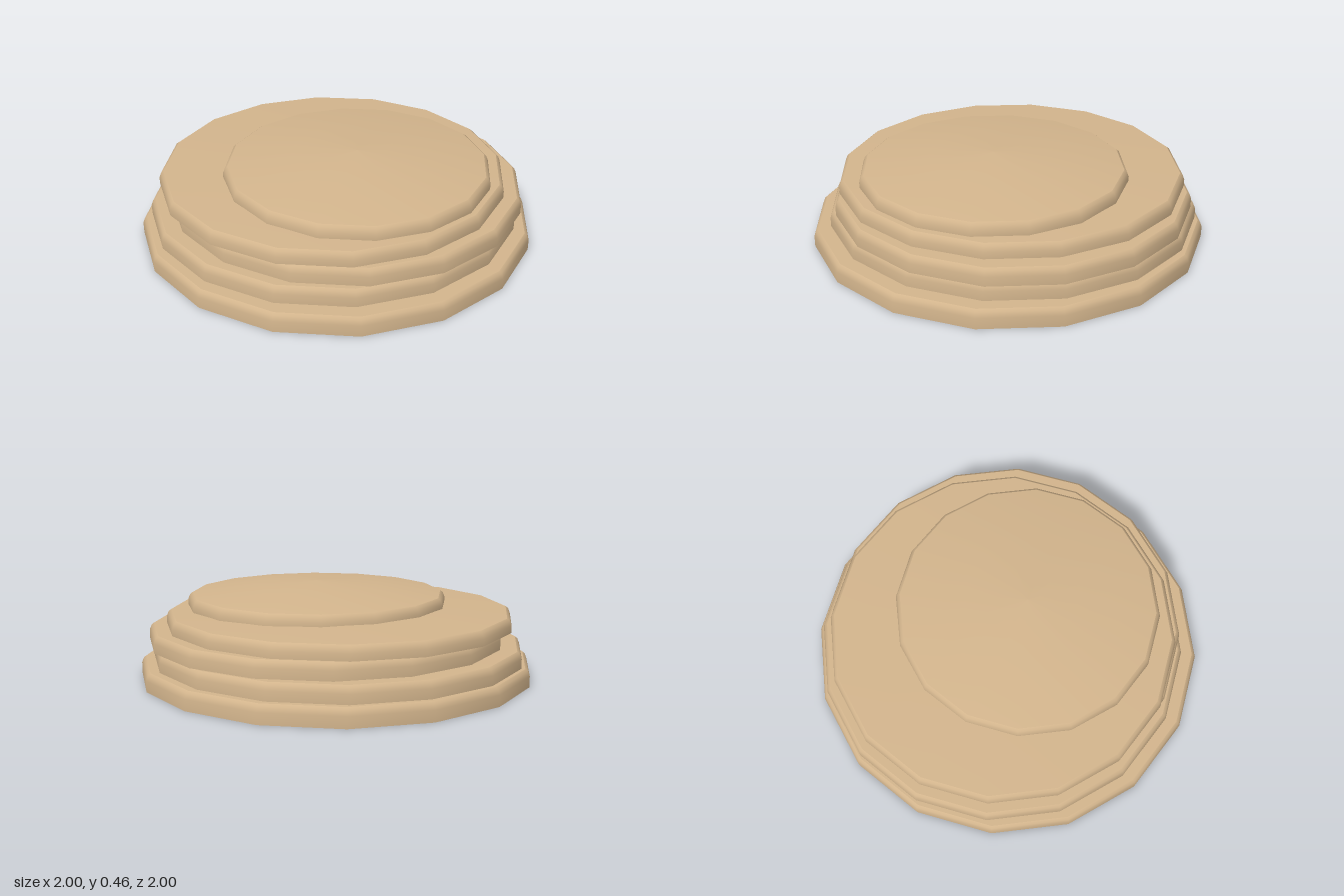
import * as THREE from 'three';

const SIDES = 16;
const material = new THREE.MeshStandardMaterial({ color: 0xd2b48c });

// name, centre x, centre z, radius, bottom y, rim y, dome rise
const LAYERS = [
  ['baseSlab', 0, 0, 1, 0, 0.09, 0.015],
  ['secondSlab', 0, -0.03, 0.94, 0.095, 0.177, 0.015],
  ['thirdSlab', 0.053, 0.008, 0.9, 0.183, 0.265, 0.015],
  ['fourthSlab', -0.008, -0.028, 0.88, 0.267, 0.336, 0.025],
  ['capSlab', 0.05, 0.125, 0.67, 0.34, 0.402, 0.058],
];

function lathe(points) {
  const profile = points.map(([r, y]) => new THREE.Vector2(r, y));
  return new THREE.Mesh(new THREE.LatheGeometry(profile, SIDES), material);
}

// One flat stone: underside, rounded-over edge and shallow domed top
function createSlab([name, x, z, radius, bottom, rim, rise]) {
  const slab = new THREE.Group();
  slab.name = name;
  const rimRadius = radius - 0.023;

  const underside = lathe([[0, bottom], [radius, bottom]]);
  underside.name = 'underside';

  const edge = lathe([
    [radius, bottom],
    [radius, rim - 0.035],
    [radius - 0.01, rim - 0.01],
    [rimRadius, rim],
  ]);
  edge.name = 'edge';

  // Parabolic dome: three quarters of the rise at half the radius
  const dome = lathe([
    [rimRadius, rim],
    [rimRadius * 0.5, rim + rise * 0.75],
    [0, rim + rise],
  ]);
  dome.name = 'domedTop';

  slab.add(underside, edge, dome);
  slab.position.set(x, 0, z);
  return slab;
}

export function createModel() {
  const model = new THREE.Group();
  model.name = 'stackedSlabs';
  for (const layer of LAYERS) model.add(createSlab(layer));
  return model;
}
